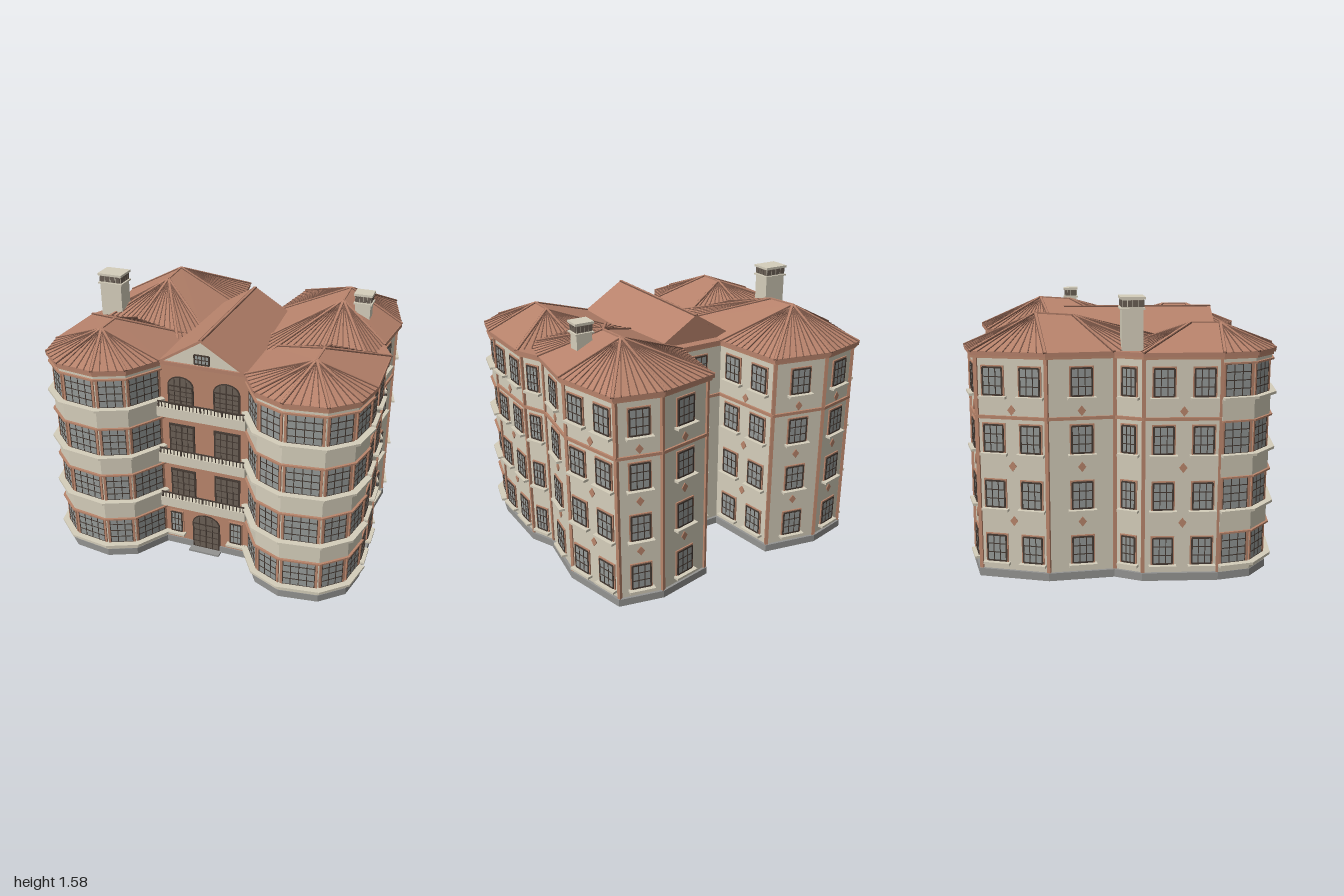
import * as THREE from 'three';
import { mergeGeometries } from 'three/addons/utils/BufferGeometryUtils.js';

const material = (name, color) => {
  const m = new THREE.MeshStandardMaterial({ color });
  m.name = name;
  return m;
};
const cream = material('cream plaster', 0xd5cebb);
const red = material('terracotta plaster', 0xba866c);
const roof = material('roof tile', 0xb7826b);
const seam = material('roof seam', 0x7d5849);
const dark = material('dark frame', 0x463b34);
const glass = material('window glass', 0x959a98);
const wood = material('door panel', 0x6a5f55);
const stone = material('plinth stone', 0x949492);

export function createModel() {
  const parts = new Map();
  // Collect geometry by part name; one merged mesh is made for each
  const add = (name, mat, geo, M) => {
    const g = geo.index ? geo.toNonIndexed() : geo;
    g.deleteAttribute('uv');
    if (M) g.applyMatrix4(M);
    if (!parts.has(name)) parts.set(name, { mat, list: [] });
    parts.get(name).list.push(g);
  };
  const box = (name, mat, w, h, d, x, y, z, M) =>
    add(name, mat, new THREE.BoxGeometry(w, h, d).translate(x, y, z), M);
  const mirror = pts => pts.map(([x, z]) => [-x, z]).reverse();
  const normal = (p, q) => {
    const l = Math.hypot(q[0] - p[0], q[1] - p[1]);
    return [-(q[1] - p[1]) / l, (q[0] - p[0]) / l];
  };
  // Push a plan path outwards with mitred corners
  const offset = (pts, d, closed) => pts.map((p, i) => {
    const n = pts.length, prev = pts[(i + n - 1) % n], next = pts[(i + 1) % n];
    let a = normal(prev, p), b = normal(p, next);
    if (!closed && i === 0) a = b;
    if (!closed && i === n - 1) b = a;
    const k = d / (1 + a[0] * b[0] + a[1] * b[1]);
    return [p[0] + (a[0] + b[0]) * k, p[1] + (a[1] + b[1]) * k];
  });
  const slab = (name, mat, pts, y0, y1) => {
    const s = new THREE.Shape(pts.map(([x, z]) => new THREE.Vector2(x, -z)));
    add(name, mat, new THREE.ExtrudeGeometry(s, { depth: y1 - y0, bevelEnabled: false })
      .rotateX(-Math.PI / 2).translate(0, y0, 0));
  };
  const band = (name, mat, path, y0, y1, d) =>
    slab(name, mat, [...offset(path, d), ...offset(path, -0.01).reverse()], y0, y1);
  // Frame on a wall: local x along it, local z outwards
  const onWall = (p, q, t) => {
    const n = normal(p, q);
    return new THREE.Matrix4().makeRotationY(Math.atan2(n[0], n[1]))
      .setPosition(p[0] + (q[0] - p[0]) * t, 0, p[1] + (q[1] - p[1]) * t);
  };

  // Plan outline of the +x half, from the front recess round to the rear recess
  const half = [[0.275, 0.58], [0.40, 0.775], [0.56, 0.845], [0.785, 0.815], [0.915, 0.70],
    [0.955, 0.52], [0.945, 0.10], [0.875, -0.05], [0.915, -0.42], [0.81, -0.80],
    [0.56, -0.855], [0.235, -0.79], [0.165, -0.345]];
  const outline = [...half, ...mirror(half)];
  const floorY = i => 0.09 + 0.317 * i;

  slab('walls', cream, outline, 0.03, 1.26);
  slab('plinth', stone, offset(outline, 0.015, true), 0, 0.045);
  slab('eavesBoard', red, offset(outline, 0.022, true), 1.25, 1.265);
  slab('eaves', roof, offset(outline, 0.033, true), 1.265, 1.288);
  const back = half.slice(5);
  band('stringCourse', red, [...back, ...mirror(back)], 0.916, 0.934, 0.012);

  // Mullion grid over a pane
  const grid = (name, w, y0, h, cols, rows, z, M, x = 0) => {
    for (let i = 0; i <= cols; i++)
      box(name, dark, i % cols ? 0.005 : 0.009, h, 0.004, x - w / 2 + w * i / cols, y0 + h / 2, z, M);
    for (let j = 0; j <= rows; j++)
      box(name, dark, w, j % rows ? 0.005 : 0.009, 0.004, x, y0 + h * j / rows, z, M);
  };
  const sashWindow = (w, y, h, M, x = 0) => {
    box('windowSurrounds', red, w + 0.022, h + 0.022, 0.016, x, y + h / 2, 0, M);
    box('windowGlass', glass, w, h, 0.02, x, y + h / 2, 0, M);
    grid('windowFrames', w, y, h, 3, 3, 0.0105, M, x);
    box('windowSills', cream, w + 0.045, 0.014, 0.07, x, y - 0.013, 0, M);
  };
  const diamond = (y, M) => add('wallDiamonds', red,
    new THREE.CylinderGeometry(0.029, 0.029, 0.012, 4).rotateX(Math.PI / 2)
      .scale(0.78, 1, 1).translate(0, y, 0), M);

  // Side and rear walls: [start corner, window positions, window width, diamond position]
  const walls = [[5, [0.22, 0.74], 0.108, 0.48], [6, [0.5], 0.075, null], [7, [0.49], 0.112, 0.49],
    [8, [0.23, 0.76], 0.108, 0.5], [9, [0.5], 0.108, 0.5], [10, [0.5], 0.112, 0.5], [11, [0.26, 0.74], 0.108, 0.5]];
  for (const side of [1, -1]) {
    const segment = i => {
      const p = half[i].slice(), q = half[i + 1].slice();
      if (side > 0) return [p, q];
      return mirror([p, q]);
    };
    for (const [i, spots, w, mark] of walls) {
      const [p, q] = segment(i), at = t => onWall(p, q, side > 0 ? t : 1 - t);
      for (let f = 0; f < 4; f++) {
        for (const t of spots) sashWindow(w, floorY(f) + 0.008, 0.15, at(t));
        if (mark !== null && f) diamond(0.336 + 0.315 * (f - 1), at(mark));
      }
      // Corner pilaster
      const M = new THREE.Matrix4().makeRotationY(side * (i < 8 ? 0 : 0.4)).setPosition(side * half[i][0], 0, half[i][1]);
      box('pilasters', red, 0.02, 1.205, 0.02, 0, 0.648, 0, M);
    }

    // Glazed bay: parapets, ledges and window strips
    const bay = side > 0 ? half.slice(0, 6) : mirror(half.slice(0, 6));
    for (let f = 0; f < 4; f++) {
      const y = floorY(f), top = y + 0.18;
      band('bayParapets', cream, bay, f ? y - 0.137 : 0.04, y, 0.012);
      band('bayLedges', cream, bay, y - 0.012, y + 0.002, 0.044);
      band('bayLintels', red, bay, top, top + 0.01, 0.026);
      for (let i = 0; i < 5; i++) {
        const [p, q] = [bay[i], bay[i + 1]], M = onWall(p, q, 0.5);
        const w = Math.hypot(q[0] - p[0], q[1] - p[1]) - 0.036;
        box('bayGlass', glass, w, 0.18, 0.01, 0, y + 0.09, 0, M);
        grid('bayFrames', w, y, 0.18, Math.max(3, Math.round(w / 0.046)), 4, 0.005, M);
        for (const s of [-1, 1]) box('bayPosts', red, 0.014, 0.18, 0.016, s * (w / 2 + 0.007), y + 0.09, 0, M);
      }
    }
    band('bayParapets', cream, bay, 1.225, 1.25, 0.012);
  }
  // Windows of the rear recess
  const rearWall = onWall(half[12], [-half[12][0], half[12][1]], 0.5);
  for (let f = 0; f < 4; f++) sashWindow(0.108, floorY(f) + 0.008, 0.15, rearWall);

  // Central front wall with doors and balconies
  const front = new THREE.Matrix4().setPosition(0, 0, 0.588);
  box('frontWall', red, 0.55, 1.25, 0.02, 0, 0.64, 0.578);
  const door = (x, y, w, h, rise) => {
    const arch = k => {
      const s = new THREE.Shape(), r = w / 2 + k;
      s.moveTo(-r, 0);
      s.lineTo(r, 0);
      s.lineTo(r, h - rise + k);
      if (rise) s.absellipse(0, h - rise, r, rise + k, 0, Math.PI, false);
      else s.lineTo(-r, h + k);
      return s;
    };
    const leaf = (name, mat, k, d) => add(name, mat,
      new THREE.ExtrudeGeometry(arch(k), { depth: d, bevelEnabled: false, curveSegments: 10 }).translate(x, y, 0), front);
    leaf('doorFrames', dark, 0.007, 0.005);
    leaf('doorLeaves', wood, 0, 0.008);
    grid('doorBars', w, y, h - rise, 4, 4, 0.008, front, x);
    box('doorBars', dark, 0.009, h, 0.004, x, y + h / 2, 0.008, front);
    if (rise) for (const s of [-1, 1])
      box('doorBars', dark, 0.005, rise * 0.85, 0.004, x + s * w / 4, y + h - rise * 0.58, 0.008, front);
  };
  door(0, 0.012, 0.17, 0.235, 0.06);
  box('entranceStep', stone, 0.2, 0.012, 0.06, 0, 0.006, 0.615);
  for (const s of [-1, 1]) {
    sashWindow(0.07, 0.1, 0.14, front, s * 0.198);
    for (let f = 0; f < 3; f++) door(s * 0.143, 0.378 + 0.315 * f, 0.15, 0.178, f === 2 ? 0.055 : 0);
  }
  for (let f = 0; f < 3; f++) {
    const y = 0.315 + 0.315 * f;
    box('balconies', cream, 0.55, 0.062, 0.07, 0, y + 0.031, 0.615);
    box('balconyRails', dark, 0.54, 0.006, 0.008, 0, y + 0.098, 0.643);
    for (let i = 0; i <= 24; i++)
      box('balconyRails', dark, i % 6 ? 0.004 : 0.01, 0.036, 0.006, -0.265 + 0.53 * i / 24, y + 0.08, 0.643);
  }

  // Central gable roof
  const prism = (name, mat, pts, z0, z1) => add(name, mat, new THREE.ExtrudeGeometry(
    new THREE.Shape(pts.map(p => new THREE.Vector2(...p))), { depth: z1 - z0, bevelEnabled: false }).translate(0, 0, z0));
  const triangle = [[-0.27, 1.283], [0.27, 1.283], [0, 1.442]];
  prism('gableWall', cream, triangle, 0.5, 0.6);
  prism('gableRoof', roof, triangle, -0.318, 0.5);
  prism('gableRoof', roof, [[-0.295, 1.27], [-0.27, 1.27], [0, 1.436], [0.27, 1.27], [0.295, 1.27], [0, 1.453]], -0.32, 0.618);
  box('ridgeShadow', seam, 0.022, 0.01, 0.936, 0, 1.448, 0.15);
  box('ridgeCap', roof, 0.012, 0.01, 0.936, 0, 1.45, 0.15);
  const gableFace = new THREE.Matrix4().setPosition(0, 0, 0.602);
  box('gableWindow', glass, 0.09, 0.055, 0.008, 0, 1.326, 0, gableFace);
  grid('gableWindowFrame', 0.09, 1.298, 0.055, 4, 2, 0.004, gableFace);

  // Bar running between two points in space
  const beam = (name, mat, p, q, w, h) => {
    const M = new THREE.Matrix4().lookAt(q, p, new THREE.Vector3(0, 1, 0))
      .setPosition(p.clone().add(q).multiplyScalar(0.5));
    box(name, mat, w, h, p.distanceTo(q), 0, 0, 0, M);
  };
  // Hipped roof over a plan polygon: corners rise to the nearer end of a short ridge
  const hipRoof = (plan, x, front, rear, split) => {
    const tips = [front, rear].map(([y, z]) => new THREE.Vector3(x, y, z));
    const tip = v => tips[v.z > split ? 0 : 1];
    const v = plan.map(([px, pz]) => new THREE.Vector3(px, 1.286, pz));
    const pos = [];
    v.forEach((p, i) => {
      const q = v[(i + 1) % v.length], a = tip(p), b = tip(q);
      for (const c of [p, q, b]) pos.push(c.x, c.y, c.z);
      if (a !== b) for (const c of [p, b, a]) pos.push(c.x, c.y, c.z);
      else {
        const n = Math.max(2, Math.round(p.distanceTo(q) / 0.045));
        for (let k = 1; k < n; k++) {
          const e = p.clone().lerp(q, k / n);
          beam('roofSeams', seam, a.clone().lerp(e, 0.1), e, 0.006, 0.007);
        }
      }
      beam('hipEdges', seam, a, p, 0.02, 0.008);
      beam('hipCaps', roof, a, p, 0.013, 0.014);
    });
    beam('hipCaps', roof, tips[0], tips[1], 0.013, 0.012);
    const g = new THREE.BufferGeometry();
    g.setAttribute('position', new THREE.Float32BufferAttribute(pos, 3));
    g.computeVertexNormals();
    add('hipRoofs', roof, g);
  };
  const eaves = offset(outline, 0.033, true).slice(0, half.length);
  const frontPlan = [...eaves.slice(0, 7), [0.62, 0.03], [0.27, 0.19]];
  const rearPlan = [...eaves.slice(7), [0.2, 0.1], [0.29, 0.29], [0.6, 0.33], [0.86, 0.2]];
  for (const s of [1, -1]) {
    const plan = p => s > 0 ? p : mirror(p);
    hipRoof(plan(frontPlan), s * 0.65, [1.41, 0.56], [1.41, 0.39], 0.4);
    hipRoof(plan(rearPlan), s * 0.595, [1.452, -0.27], [1.465, -0.48], -0.2);
  }

  // Chimneys with vent openings under the cap
  const chimney = (x, z, w, d, top) => {
    box('chimneyShafts', cream, w - 0.02, top - 1.27, d - 0.02, x, (top + 1.27) / 2 - 0.01, z);
    box('chimneyCaps', cream, w, 0.014, d, x, top - 0.007, z);
    box('chimneyCaps', cream, w, 0.01, d, x, top - 0.064, z);
    for (let i = 0; i < 4; i++) {
      const t = (i - 1.5) / 4;
      box('chimneyVents', wood, w * 0.18, 0.036, d - 0.012, x + t * (w - 0.02), top - 0.036, z);
      box('chimneyVents', wood, w - 0.012, 0.036, d * 0.18, x, top - 0.036, z + t * (d - 0.02));
    }
  };
  chimney(-0.828, 0.042, 0.165, 0.135, 1.575);
  chimney(0.727, -0.265, 0.115, 0.1, 1.524);

  const group = new THREE.Group();
  group.name = 'apartmentBuilding';
  for (const [name, { mat, list }] of parts) {
    const mesh = new THREE.Mesh(mergeGeometries(list), mat);
    mesh.name = name;
    group.add(mesh);
  }
  return group;
}
